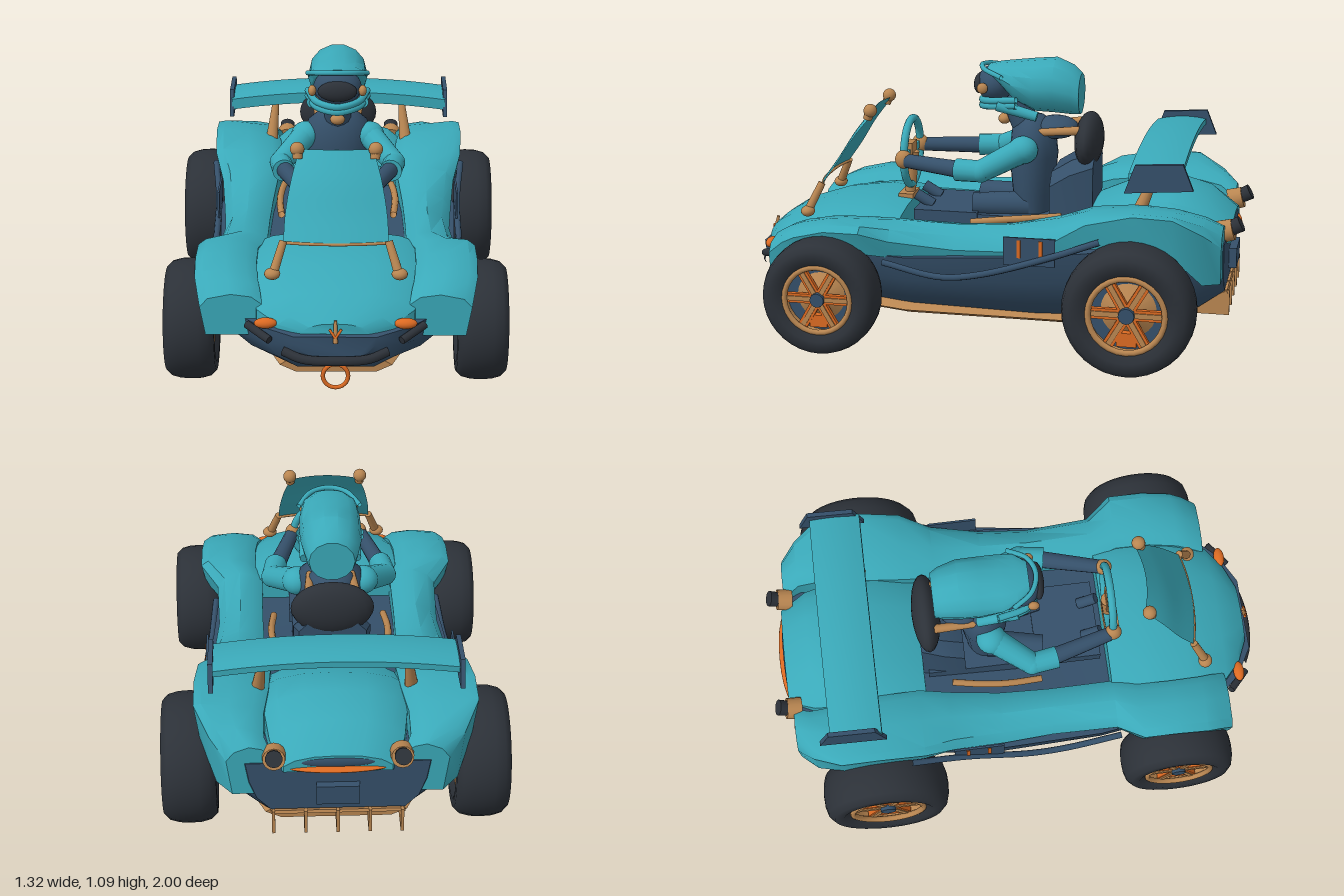
import * as THREE from 'three';
import { toCreasedNormals } from 'three/addons/utils/BufferGeometryUtils.js';

const mat = (name, color, side = THREE.FrontSide) =>
  Object.assign(new THREE.MeshStandardMaterial({ color, side }), { name });
const V = (x, y, z) => new THREE.Vector3(x, y, z);
const points2 = (list) => list.map(([x, y]) => new THREE.Vector2(x, y));
// Skin closed rings (anticlockwise seen from the front), ordered front to back
function loft(sections) {
  const n = sections[0][1].length, pos = [], idx = [], last = (sections.length - 1) * n;
  sections.forEach(([z, ring]) => ring.forEach(([x, y]) => pos.push(x, y, z)));
  for (let i = 0; i < last; i += n) for (let j = 0; j < n; j++) {
    const a = i + j, b = i + (j + 1) % n;
    idx.push(a, a + n, b, b, a + n, b + n);
  }
  for (let j = 1; j < n - 1; j++) idx.push(0, j, j + 1, last, last + j + 1, last + j);
  const g = new THREE.BufferGeometry();
  g.setAttribute('position', new THREE.Float32BufferAttribute(pos, 3));
  g.setIndex(idx);
  return toCreasedNormals(g, 0.6);
}
// Complete a half ring by mirroring it
const sym = (half) => [...half, ...half.slice().reverse().filter(p => p[0] > 0).map(([x, y]) => [-x, y])];

export function createModel() {
  const car = new THREE.Group();
  car.name = 'buggy';
  const teal = mat('teal paint', 0x3aa9b9, THREE.DoubleSide), navy = mat('navy', 0x35506a);
  const black = mat('rubber black', 0x2c3138), orange = mat('orange', 0xdc6a22);
  const tan = mat('bronze', 0xb98651, THREE.DoubleSide);
  const add = (name, geo, m, x = 0, y = 0, z = 0, parent = car) => {
    const mesh = new THREE.Mesh(geo, m);
    mesh.name = name;
    mesh.position.set(x, y, z);
    parent.add(mesh);
    return mesh;
  };
  const bar = (name, a, b, r0, r1, m) => {
    const d = b.clone().sub(a), mid = a.clone().lerp(b, 0.5);
    add(name, new THREE.CylinderGeometry(r1, r0, d.length(), 14), m, mid.x, mid.y, mid.z)
      .quaternion.setFromUnitVectors(V(0, 1, 0), d.normalize());
  };
  const ball = (name, x, y, z, rx, ry, rz, m) =>
    add(name, new THREE.SphereGeometry(1, 20, 14), m, x, y, z).scale.set(rx, ry, rz);
  const tube = (name, pts, r, m) =>
    add(name, new THREE.TubeGeometry(new THREE.CatmullRomCurve3(pts.map(p => V(...p))), 24, r, 8), m);
  // Tube given as its left half, last point on the centre line
  const symTube = (name, half, r, m) =>
    tube(name, [...half, ...half.slice(0, -1).reverse().map(([x, y, z]) => [-x, y, z])], r, m);
  const box = (name, w, h, d, m, x, y, z) => add(name, new THREE.BoxGeometry(w, h, d), m, x, y, z);

  // Bowl-shaped lower tub: z, bottom half width, top half width, bottom y, top y
  add('tub', loft([
    [0.965, 0.08, 0.15, 0.23, 0.31], [0.9, 0.14, 0.265, 0.165, 0.32], [0.75, 0.2, 0.41, 0.135, 0.33],
    [0.5, 0.24, 0.43, 0.13, 0.37], [0.3, 0.3, 0.46, 0.13, 0.37], [-0.2, 0.32, 0.485, 0.13, 0.41],
    [-0.45, 0.3, 0.44, 0.13, 0.43], [-0.8, 0.27, 0.42, 0.16, 0.45], [-0.93, 0.25, 0.34, 0.25, 0.46],
  ].map(([z, wb, wt, yb, yt]) => [z, sym([[wb, yb], [wb * 0.45 + wt * 0.55, yb * 0.75 + yt * 0.25],
    [wt * 0.96, yb * 0.4 + yt * 0.6], [wt, yt]])])), navy);
  // Underfloor tray with bevelled rim, and rear diffuser
  add('floorTray', loft([[0.78, 0.21], [0.5, 0.3], [0.32, 0.35], [-0.6, 0.35], [-0.78, 0.27]]
    .map(([z, w]) => [z, sym([[w - 0.06, 0.09], [w, 0.118], [w - 0.05, 0.148]])])), tan);
  box('diffuserRoof', 0.5, 0.012, 0.22, tan, 0, 0.2, -0.84).rotation.x = 0.4;
  for (let i = -2; i <= 2; i++) box('diffuserFin', 0.012, 0.1, 0.22, tan, i * 0.12, 0.2, -0.84);

  // Hood and rear deck: z, half width, bottom y, shoulder y, crown y
  const panel = ([z, w, yb, ys, yt]) =>
    [z, sym([[w, yb], [w, ys], [w * 0.8, ys + (yt - ys) * 0.55], [w * 0.45, ys + (yt - ys) * 0.9], [0, yt]])];
  add('hood', loft([
    [0.95, 0.12, 0.315, 0.325, 0.355], [0.91, 0.21, 0.315, 0.335, 0.39], [0.84, 0.29, 0.31, 0.365, 0.435],
    [0.68, 0.32, 0.33, 0.42, 0.485], [0.5, 0.32, 0.35, 0.45, 0.51], [0.36, 0.31, 0.36, 0.45, 0.495],
  ].map(panel)), teal);
  add('rearDeck', loft([
    [-0.39, 0.25, 0.4, 0.48, 0.53], [-0.55, 0.27, 0.4, 0.54, 0.6], [-0.7, 0.27, 0.4, 0.54, 0.622],
    [-0.84, 0.25, 0.42, 0.5, 0.585], [-0.945, 0.2, 0.43, 0.455, 0.5],
  ].map(panel)), teal);
  // Side pods sweeping into the fenders: z, inner x, outer x, bottom, shoulder, top
  const pods = [
    [0.83, 0.27, 0.5, 0.26, 0.37, 0.42], [0.77, 0.28, 0.515, 0.3, 0.42, 0.455], [0.72, 0.29, 0.525, 0.36, 0.445, 0.475],
    [0.6, 0.3, 0.53, 0.41, 0.475, 0.5], [0.46, 0.3, 0.53, 0.39, 0.475, 0.505], [0.36, 0.27, 0.46, 0.36, 0.43, 0.495],
    [0.1, 0.27, 0.45, 0.35, 0.41, 0.49], [-0.1, 0.265, 0.465, 0.36, 0.42, 0.5], [-0.3, 0.25, 0.485, 0.41, 0.48, 0.54],
    [-0.42, 0.24, 0.52, 0.46, 0.56, 0.58], [-0.6, 0.25, 0.53, 0.48, 0.605, 0.6], [-0.75, 0.27, 0.53, 0.45, 0.6, 0.595],
    [-0.86, 0.27, 0.47, 0.33, 0.53, 0.57], [-0.925, 0.24, 0.41, 0.32, 0.47, 0.53],
  ];
  for (const s of [1, -1]) {
    add('sidePod', loft(pods.map(([z, xi, xo, yb, ys, yt]) => {
      const ring = [[xi, yb], [xo - 0.02, yb], [xo, ys], [xo - 0.03, (ys + yt) / 2 + 0.008],
        [(xi + xo) / 2, yt], [xi + 0.04, yt - 0.01], [xi, yt - 0.04]].map(([x, y]) => [x * s, y]);
      return [z, s > 0 ? ring : ring.reverse()];
    })), teal);
    box('sidePlate', 0.008, 0.11, 0.2, navy, s * 0.492, 0.435, -0.205);
    for (const z of [-0.165, -0.25]) box('plateStripe', 0.006, 0.07, 0.014, orange, s * 0.496, 0.445, z);
    tube('sideRail', [[s * 0.47, 0.35, 0.38], [s * 0.485, 0.31, 0.15], [s * 0.495, 0.33, 0],
      [s * 0.5, 0.41, -0.26], [s * 0.525, 0.5, -0.48]], 0.013, navy);
    tube('cockpitTrim', [[s * 0.225, 0.46, 0.08], [s * 0.235, 0.48, -0.05], [s * 0.23, 0.49, -0.15], [s * 0.21, 0.5, -0.28]], 0.014, tan);
  }

  // Wheels, built with the axle along y and the outer face up
  const wheel = (side, z, R, half) => {
    const g = new THREE.Group(), r = R * 0.6;
    g.name = z > 0 ? 'frontWheel' : 'rearWheel';
    const profile = [[0.6, -0.8], [0.72, -0.98], [0.86, -0.97], [0.95, -0.75], [0.99, -0.4], [1, 0],
      [0.99, 0.4], [0.95, 0.75], [0.86, 0.97], [0.72, 0.98], [0.6, 0.8]];
    add('tyre', new THREE.LatheGeometry(points2(profile.map(([a, b]) => [a * R, b * half])), 36), black, 0, 0, 0, g);
    add('rimBarrel', new THREE.CylinderGeometry(r, r, half * 1.6, 28, 1, true), tan, 0, 0, 0, g);
    add('rimLip', new THREE.TorusGeometry(r * 0.95, r * 0.08, 8, 28), tan, 0, half * 0.78, 0, g).rotation.x = Math.PI / 2;
    add('brakeDisc', new THREE.CylinderGeometry(r, r, 0.012, 28), navy, 0, half * 0.1, 0, g);
    add('rimCone', new THREE.CylinderGeometry(r * 0.3, r * 0.76, half * 0.4, 24), tan, 0, half * 0.3, 0, g);
    for (let i = 0; i < 6; i++) {
      const arm = add('spoke', new THREE.BoxGeometry(r * 0.8, 0.02, r * 0.27), orange, 0, half * 0.58, 0, g);
      const ridge = add('spokeRidge', new THREE.BoxGeometry(r * 0.8, 0.014, r * 0.13), tan, 0, half * 0.58 + 0.008, 0, g);
      for (const m of [arm, ridge]) {
        m.rotation.y = i * Math.PI / 3 + Math.PI / 6;
        m.translateX(r * 0.52);
      }
    }
    add('caliper', new THREE.BoxGeometry(r * 0.35, half * 0.5, r * 0.5), orange, side * r * 0.65, half * 0.4, 0, g);
    add('hub', new THREE.CylinderGeometry(r * 0.2, r * 0.26, half * 1.1, 12), navy, 0, half * 0.3, 0, g);
    g.rotation.z = -side * Math.PI / 2;
    g.position.set(side * (0.45 + half), R, z);
    car.add(g);
    bar('axle', V(side * 0.34, R, z), V(side * 0.5, R, z), 0.018, 0.018, navy);
  };
  for (const s of [1, -1]) { wheel(s, 0.6, 0.23, 0.097); wheel(s, -0.6, 0.255, 0.106); }

  // Curved windscreen
  const curve = new THREE.CatmullRomCurve3([V(0.195, 0.575, 0.7), V(0.19, 0.66, 0.64), V(0.17, 0.77, 0.57), V(0.14, 0.87, 0.49)]);
  const screen = new THREE.PlaneGeometry(2, 1, 10, 10), sp = screen.attributes.position;
  for (let i = 0; i < sp.count; i++) {
    const u = sp.getX(i), p = curve.getPoint(sp.getY(i) + 0.5);
    sp.setXYZ(i, u * p.x, p.y + 0.004 * (1 - u * u), p.z + 0.024 * (1 - u * u));
  }
  screen.computeVertexNormals();
  add('windscreen', screen, teal);
  symTube('screenSill', [[0.195, 0.573, 0.7], [0.1, 0.574, 0.717], [0, 0.574, 0.722]], 0.006, tan);
  for (const s of [1, -1]) {
    bar('screenPost', V(s * 0.235, 0.46, 0.755), V(s * 0.195, 0.58, 0.7), 0.018, 0.015, tan);
    ball('postFoot', s * 0.235, 0.47, 0.75, 0.03, 0.022, 0.028, tan);
    ball('screenKnob', s * 0.147, 0.875, 0.507, 0.027, 0.027, 0.027, tan);
    bar('knobStem', V(s * 0.145, 0.84, 0.52), V(s * 0.147, 0.87, 0.51), 0.018, 0.02, tan);
    // Nose lamps, bumper stubs and ornament arms
    ball('indicator', s * 0.255, 0.337, 0.9, 0.042, 0.02, 0.022, orange);
    bar('bumperStub', V(s * 0.325, 0.315, 0.86), V(s * 0.24, 0.285, 0.935), 0.015, 0.015, black);
    bar('ornamentArm', V(0, 0.31, 0.975), V(s * 0.022, 0.34, 0.965), 0.005, 0.005, orange);
    // Exhausts and wing struts
    bar('exhaustRing', V(s * 0.235, 0.48, -0.9), V(s * 0.235, 0.495, -0.955), 0.045, 0.042, tan);
    bar('exhaustPipe', V(s * 0.235, 0.49, -0.93), V(s * 0.235, 0.52, -0.985), 0.028, 0.032, black);
    bar('wingStrut', V(s * 0.29, 0.57, -0.6), V(s * 0.27, 0.75, -0.67), 0.026, 0.012, tan);
  }
  bar('noseOrnament', V(0, 0.29, 0.975), V(0, 0.37, 0.955), 0.009, 0.006, tan);
  symTube('frontBumper', [[0.19, 0.242, 0.935], [0.12, 0.224, 0.965], [0, 0.222, 0.98]], 0.018, black);
  add('towRing', new THREE.TorusGeometry(0.046, 0.008, 8, 24), orange, 0, 0.158, 0.965);
  ball('tailLip', 0, 0.442, -0.925, 0.2, 0.013, 0.045, orange);
  ball('tailVent', 0, 0.47, -0.943, 0.14, 0.02, 0.008, navy);
  box('rearPlate', 0.16, 0.08, 0.03, navy, 0, 0.33, -0.945);

  // Rear wing, cambered along its chord and bowed across its span
  const wing = new THREE.BoxGeometry(0.92, 0.035, 0.2, 16, 1, 6), wp = wing.attributes.position;
  for (let i = 0; i < wp.count; i++) {
    const x = wp.getX(i), z = wp.getZ(i);
    wp.setY(i, wp.getY(i) * (1 + z * 3) + 0.033 * (1 - (x / 0.46) ** 2) - z * 0.1 - z * z * 1.2);
  }
  add('rearWing', toCreasedNormals(wing, 0.6), teal, 0, 0.753, -0.675);
  const plate = new THREE.Shape(points2([[0.56, 0.68], [0.6, 0.79], [0.78, 0.8], [0.82, 0.7]]));
  for (const s of [1, -1]) add('wingEndPlate', new THREE.ExtrudeGeometry(plate, { depth: 0.018, bevelEnabled: false }),
    navy, s * 0.46 - 0.009).rotation.y = Math.PI / 2;

  // Cockpit: seat, headrest and steering
  box('seatBase', 0.3, 0.08, 0.5, navy, 0, 0.43, -0.12);
  box('footwell', 0.32, 0.05, 0.26, navy, 0, 0.455, 0.2);
  add('seatBack', loft([[-0.22, 0.15, 0.65], [-0.3, 0.15, 0.7], [-0.39, 0.13, 0.73]]
    .map(([z, w, y]) => [z, sym([[w, 0.42], [w, y - 0.05], [w - 0.05, y]])])), navy);
  ball('headrest', 0, 0.765, -0.355, 0.16, 0.11, 0.056, black);
  ball('neckPad', 0, 0.81, -0.22, 0.09, 0.045, 0.09, navy);
  add('steeringWheel', new THREE.TorusGeometry(0.135, 0.016, 10, 32), teal, 0, 0.68, 0.375);
  box('steeringSpoke', 0.25, 0.03, 0.012, teal, 0, 0.68, 0.378);
  box('steeringHub', 0.08, 0.08, 0.03, tan, 0, 0.68, 0.38);
  bar('steeringColumn', V(0, 0.68, 0.375), V(0, 0.48, 0.385), 0.03, 0.02, tan);
  box('columnMount', 0.11, 0.035, 0.06, tan, 0, 0.495, 0.39);

  // Driver
  const torso = [[0.1, 0.44], [0.115, 0.55], [0.135, 0.7], [0.12, 0.8], [0.06, 0.85], [0, 0.86]];
  add('torso', new THREE.LatheGeometry(points2(torso), 24), navy, 0, 0, -0.13).scale.z = 0.72;
  bar('neck', V(0, 0.8, -0.1), V(0, 0.93, -0.05), 0.055, 0.055, navy);
  ball('collarClasp', 0, 0.835, -0.01, 0.03, 0.022, 0.025, tan);
  for (const s of [1, -1]) {
    bar('headrestArm', V(s * 0.08, 0.8, -0.14), V(s * 0.09, 0.82, -0.33), 0.014, 0.018, tan);
    bar('pedal', V(s * 0.07, 0.48, 0.27), V(s * 0.07, 0.52, 0.34), 0.022, 0.022, navy);
    ball('shoulder', s * 0.13, 0.74, -0.11, 0.06, 0.055, 0.06, teal);
    bar('upperArm', V(s * 0.13, 0.74, -0.11), V(s * 0.228, 0.67, 0.04), 0.052, 0.044, teal);
    ball('elbow', s * 0.228, 0.67, 0.04, 0.044, 0.044, 0.044, teal);
    bar('sleeve', V(s * 0.228, 0.67, 0.04), V(s * 0.212, 0.668, 0.14), 0.043, 0.045, teal);
    bar('forearm', V(s * 0.208, 0.668, 0.13), V(s * 0.145, 0.675, 0.36), 0.034, 0.028, navy);
    ball('hand', s * 0.14, 0.68, 0.375, 0.03, 0.038, 0.034, tan);
    bar('thigh', V(s * 0.06, 0.5, -0.12), V(s * 0.1, 0.5, 0.1), 0.055, 0.045, navy);
    ball('goggleClip', s * 0.1, 0.975, 0.06, 0.016, 0.022, 0.022, tan);
    bar('scarfEnd', V(s * 0.1, 0.87, -0.16), V(s * 0.1, 0.91, 0), 0.02, 0.024, teal);
  }
  // Head: elongated helmet over a goggled face with a jaw guard
  const oval = (cy, rx, ry) => Array.from({ length: 14 }, (_, i) =>
    [rx * Math.cos(i / 7 * Math.PI), cy + ry * Math.sin(i / 7 * Math.PI)]);
  add('helmet', loft([[0.05, 1.04, 0.06, 0.016], [0, 1.025, 0.105, 0.042], [-0.06, 0.995, 0.118, 0.08],
    [-0.14, 0.98, 0.12, 0.105], [-0.22, 0.982, 0.117, 0.11], [-0.29, 0.965, 0.102, 0.098], [-0.322, 0.95, 0.088, 0.082]]
    .map(([z, ...o]) => [z, oval(...o)])), teal);
  ball('face', 0, 0.98, 0.025, 0.096, 0.075, 0.075, navy);
  ball('visor', 0, 0.978, 0.085, 0.078, 0.042, 0.026, black);
  symTube('brow', [[0.12, 1.025, -0.02], [0.07, 1.045, 0.055], [0, 1.052, 0.08]], 0.01, teal);
  for (const y of [0.9, 0.922])
    symTube('jawGuard', [[0.12, y + 0.015, -0.08], [0.08, y, 0.04], [0, y - 0.01, 0.08]], 0.014, teal);
  return car;
}
